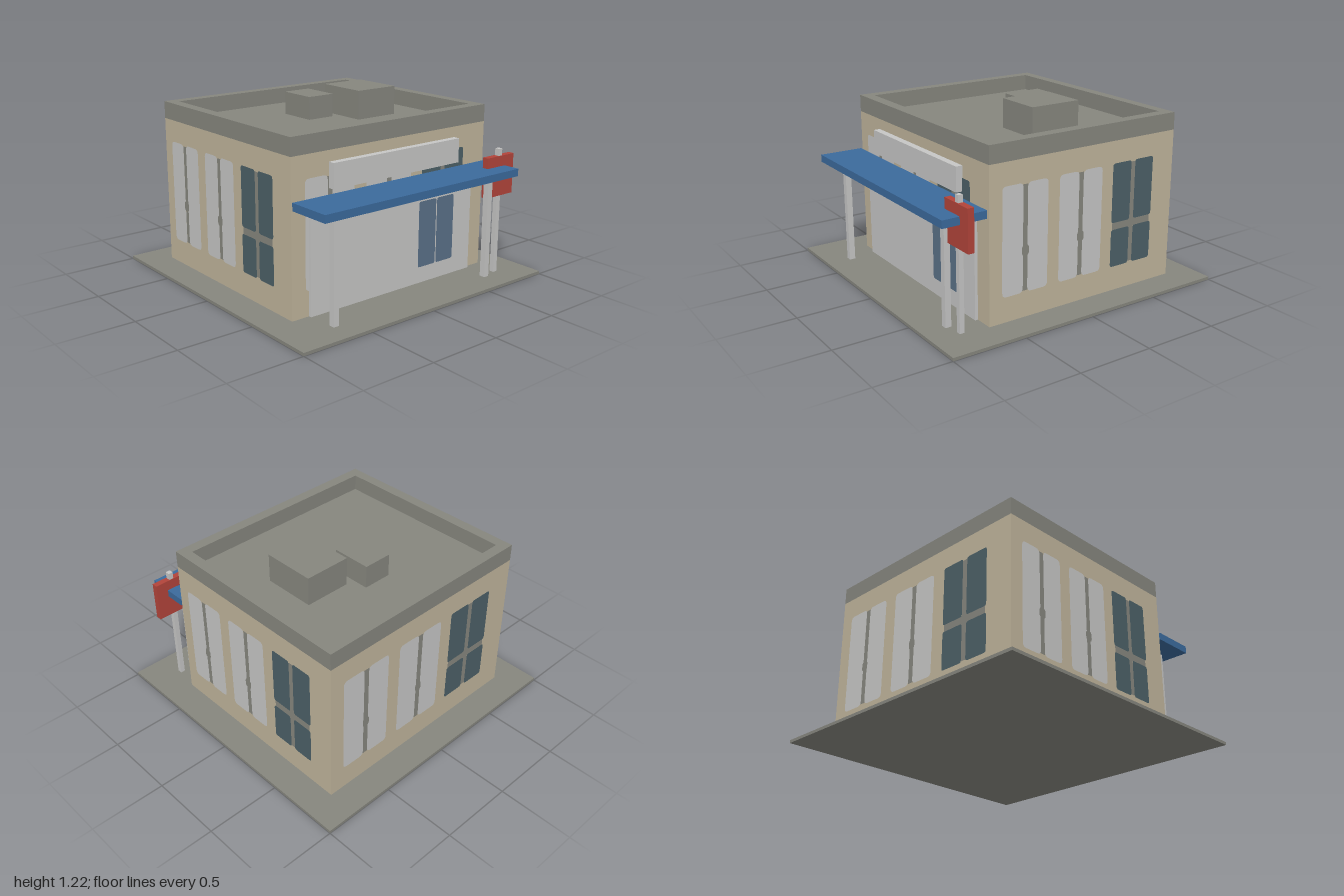
import * as THREE from 'three';

const mat = (name, color) => {
  const m = new THREE.MeshStandardMaterial({ color });
  m.name = name;
  return m;
};

export function createModel() {
  const model = new THREE.Group();
  model.name = 'shop';
  const concrete = mat('concreteGrey', 0x86867e);
  const plaster = mat('plasterBeige', 0xbfb49b);
  const white = mat('paleGrey', 0xc6c6c5);
  const darkGlass = mat('darkGlass', 0x4c6067);
  const blueGlass = mat('blueGlass', 0x5a7188);
  const blue = mat('canopyBlue', 0x3b6a9c);
  const red = mat('signRed', 0xb2443a);

  // Box given by its limits on each axis
  const box = (name, material, [x0, x1], [y0, y1], [z0, z1]) => {
    const mesh = new THREE.Mesh(new THREE.BoxGeometry(x1 - x0, y1 - y0, z1 - z0), material);
    mesh.position.set((x0 + x1) / 2, (y0 + y1) / 2, (z0 + z1) / 2);
    mesh.name = name;
    model.add(mesh);
    return mesh;
  };

  // Flat plate with rounded corners, facing +z
  const plate = (parent, name, material, x0, x1, y0, y1, z, r) => {
    const s = new THREE.Shape();
    s.moveTo(x0 + r, y0);
    s.lineTo(x1 - r, y0);
    s.quadraticCurveTo(x1, y0, x1, y0 + r);
    s.lineTo(x1, y1 - r);
    s.quadraticCurveTo(x1, y1, x1 - r, y1);
    s.lineTo(x0 + r, y1);
    s.quadraticCurveTo(x0, y1, x0, y1 - r);
    s.lineTo(x0, y0 + r);
    s.quadraticCurveTo(x0, y0, x0 + r, y0);
    const mesh = new THREE.Mesh(new THREE.ShapeGeometry(s, 4), material);
    mesh.position.z = z;
    mesh.name = name;
    parent.add(mesh);
  };

  // Ground, walls and roof
  box('groundSlab', concrete, [-1, 1], [0, 0.02], [-1, 1]);
  box('walls', plaster, [-0.8, 0.8], [0.02, 1.02], [-0.8, 0.625]);
  box('roofFloor', concrete, [-0.73, 0.73], [1.018, 1.026], [-0.73, 0.555]);

  // Parapet ring around the roof
  const rectangle = (Type, x, z0, z1) => new Type([
    new THREE.Vector2(-x, -z1), new THREE.Vector2(x, -z1),
    new THREE.Vector2(x, -z0), new THREE.Vector2(-x, -z0),
  ]);
  const ring = rectangle(THREE.Shape, 0.8, -0.8, 0.625);
  ring.holes.push(rectangle(THREE.Path, 0.727, -0.73, 0.55));
  const ringGeometry = new THREE.ExtrudeGeometry(ring, { depth: 0.115, bevelEnabled: false });
  ringGeometry.rotateX(-Math.PI / 2);
  const parapet = new THREE.Mesh(ringGeometry, concrete);
  parapet.position.y = 1.02;
  parapet.name = 'parapet';
  model.add(parapet);

  // Rooftop units
  box('largeRoofUnit', concrete, [0.16, 0.48], [1.02, 1.22], [-0.27, 0.09]);
  box('smallRoofUnit', concrete, [-0.1, 0.1], [1.02, 1.18], [-0.38, -0.11]);

  // Three windows on each wall: two shuttered and one with four dark panes
  const walls = [
    ['front', 0, 0.625, 0, 1.6],
    ['left', 0.8, -0.0875, Math.PI / 2, 1.425],
    ['back', 0, -0.8, Math.PI, 1.6],
    ['right', -0.8, -0.0875, -Math.PI / 2, 1.425],
  ];
  for (const [side, x, z, turn, width] of walls) {
    const group = new THREE.Group();
    group.name = side + 'Windows';
    group.position.set(x, 0, z);
    group.rotation.y = turn;
    model.add(group);
    const half = 0.116 * width, gap = 0.0115 * width;
    [-0.322, -0.03, 0.262].forEach((f, i) => {
      const u = f * width, dark = i === 2;
      plate(group, 'mullion', concrete, u - gap - 0.003, u + gap + 0.003, 0.195, 0.865, 0.002, 0.004);
      if (dark) plate(group, 'crossbar', concrete, u - half + 0.01, u + half - 0.01, 0.43, 0.49, 0.002, 0.004);
      else plate(group, 'latch', concrete, u - 0.026, u + 0.026, 0.42, 0.49, 0.006, 0.025);
      const rows = dark ? [[0.185, 0.437], [0.483, 0.875]] : [[0.185, 0.875]];
      for (const [y0, y1] of rows) {
        for (const [a, b] of [[-half, -gap], [gap, half]]) {
          plate(group, dark ? 'darkPane' : 'shutter', dark ? darkGlass : white,
            u + a, u + b, y0, y1, 0.004, dark ? 0.018 : 0.03);
        }
      }
    });
  }

  // Shop front with its glazed door
  box('shopFront', white, [-0.675, 0.675], [0.02, 0.67], [0.625, 0.645]);
  const door = new THREE.Group();
  door.name = 'door';
  model.add(door);
  for (const [x0, x1] of [[0.198, 0.35], [0.358, 0.51]]) {
    plate(door, 'doorPane', blueGlass, x0, x1, 0.13, 0.575, 0.649, 0.016);
  }

  // Blank fascia board above the canopy
  box('fasciaBoard', white, [-0.522, 0.52], [0.79, 0.95], [0.625, 0.67]);

  // Canopy on two posts
  box('canopy', blue, [-0.8, 0.8], [0.705, 0.755], [0.638, 0.938]);
  for (const x of [-0.643, 0.643]) {
    box('canopyPost', white, [x - 0.02, x + 0.02], [0.02, 0.705], [0.805, 0.845]);
  }

  // Roadside sign on its pole
  box('signPole', white, [0.744, 0.776], [0.02, 0.872], [0.784, 0.816]);
  box('signBoard', red, [0.636, 0.884], [0.555, 0.825], [0.779, 0.821]);

  return model;
}
